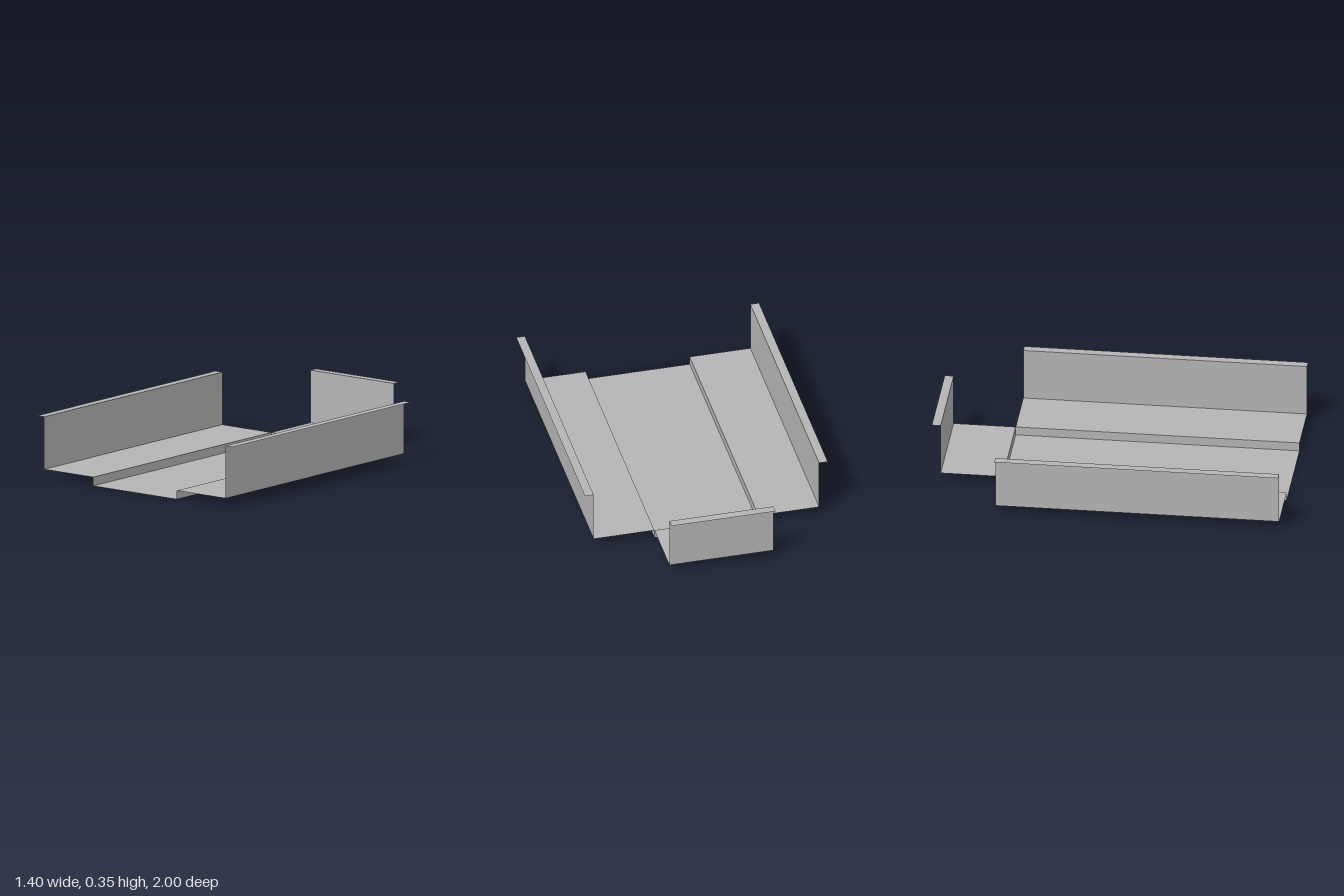
import * as THREE from 'three';

export function createModel() {
  const group = new THREE.Group();
  const grey = new THREE.MeshStandardMaterial({ color: 0xb4b4b4, side: THREE.DoubleSide });
  grey.name = 'sheetGrey';

  // Thin sheets: centre position, size, and rotation for the way they face
  function sheet(name, w, h, x, y, z, rx = 0, ry = 0) {
    const mesh = new THREE.Mesh(new THREE.PlaneGeometry(w, h), grey);
    mesh.name = name;
    mesh.position.set(x, y, z);
    mesh.rotation.set(rx, ry, 0);
    group.add(mesh);
  }
  const flat = (name, w, d, x, y, z) => sheet(name, w, d, x, y, z, -Math.PI / 2);

  const length = 1.6, midZ = 0.2, backZ = -0.6;

  // Sunken floor and its step up to the back shelf
  flat('floor', 0.6, length, 0, 0, midZ);
  sheet('backStep', 0.6, 0.05, 0, 0.025, backZ);

  // Back shelf, wall and outward lip
  flat('backShelf', 0.6, 0.35, 0, 0.05, -0.775);
  sheet('backWall', 0.6, 0.3, 0, 0.2, -0.95);
  flat('backLip', 0.6, 0.05, 0, 0.35, -0.975);

  // Both sides: step, shelf, wall and outward lip
  for (const [side, s] of [['left', 1], ['right', -1]]) {
    const turn = s * Math.PI / 2;
    sheet(side + 'Step', length, 0.05, s * 0.3, 0.025, midZ, 0, turn);
    flat(side + 'Shelf', 0.35, length, s * 0.475, 0.05, midZ);
    sheet(side + 'Wall', length, 0.3, s * 0.65, 0.2, midZ, 0, turn);
    flat(side + 'Lip', 0.05, length, s * 0.675, 0.35, midZ);
  }
  return group;
}
